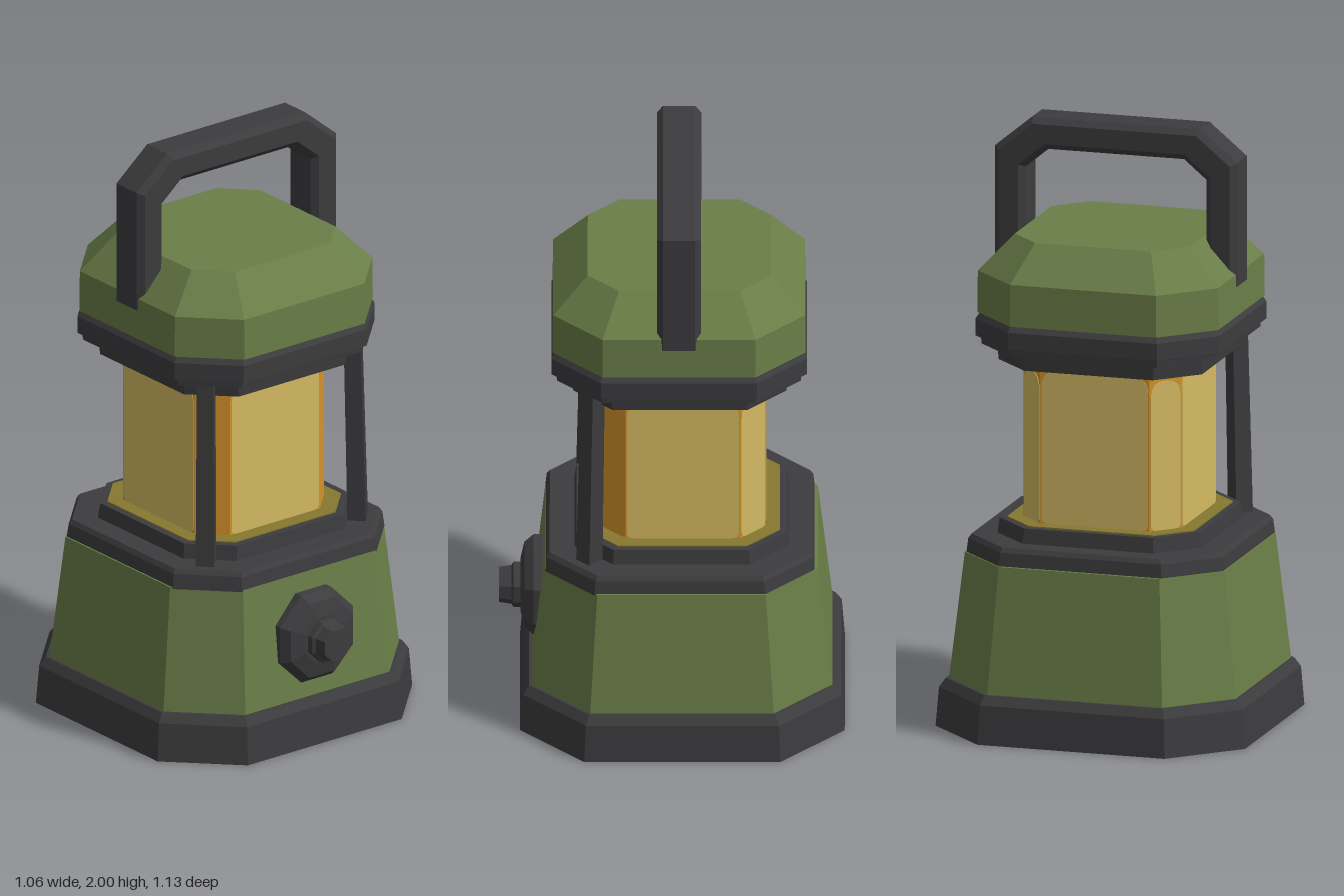
import * as THREE from 'three';

const mat = (name, color) => {
  const m = new THREE.MeshStandardMaterial({ color });
  m.name = name;
  return m;
};

// Faceted normals for any geometry
function facet(geo) {
  const g = geo.index ? geo.toNonIndexed() : geo;
  g.computeVertexNormals();
  return g;
}

// Stack of chamfered-square rings: [y, half width, half flat, centre z]
function octLoft(rings) {
  const pos = [];
  const loops = rings.map(([y, h, f, z]) =>
    [[h, -f], [h, f], [f, h], [-f, h], [-h, f], [-h, -f], [-f, -h], [f, -h]]
      .map(([px, pz]) => [px, y, pz + z]));
  const tri = (...pts) => pts.forEach(p => pos.push(...p));
  const last = rings.length - 1;
  const bottom = [0, rings[0][0], rings[0][3]];
  const top = [0, rings[last][0], rings[last][3]];
  for (let i = 0; i < 8; i++) {
    const j = (i + 1) % 8;
    for (let k = 0; k < last; k++) {
      const lo = loops[k], hi = loops[k + 1];
      tri(lo[i], hi[i], lo[j]);
      tri(lo[j], hi[i], hi[j]);
    }
    tri(bottom, loops[0][i], loops[0][j]);
    tri(top, loops[last][j], loops[last][i]);
  }
  const g = new THREE.BufferGeometry();
  g.setAttribute('position', new THREE.Float32BufferAttribute(pos, 3));
  g.computeVertexNormals();
  return g;
}

// Thin upright pane with rounded corners
function paneGeometry(w, h, r) {
  const s = new THREE.Shape();
  const x = w / 2, rb = r * 0.4;
  s.moveTo(-x + rb, 0);
  s.lineTo(x - rb, 0);
  s.quadraticCurveTo(x, 0, x, rb);
  s.lineTo(x, h - r);
  s.quadraticCurveTo(x, h, x - r, h);
  s.lineTo(-x + r, h);
  s.quadraticCurveTo(-x, h, -x, h - r);
  s.lineTo(-x, rb);
  s.quadraticCurveTo(-x, 0, -x + rb, 0);
  return new THREE.ExtrudeGeometry(s, { depth: 0.005, bevelEnabled: false, curveSegments: 6 });
}

export function createModel() {
  const green = mat('green paint', 0x6a7e48);
  const dark = mat('dark rubber', 0x3c3c3e);
  const amber = mat('amber glass', 0xd8962c);
  const pale = mat('pale glow', 0xd6bb64);
  const olive = mat('olive gold', 0x86792f);

  const model = new THREE.Group();
  model.name = 'lantern';
  const add = (name, geo, material, parent = model) => {
    const m = new THREE.Mesh(geo, material);
    m.name = name;
    parent.add(m);
    return m;
  };

  // Stacked octagonal housing
  add('foot', octLoft([[0, 0.53, 0.32, -0.036], [0.13, 0.52, 0.315, -0.036], [0.16, 0.5, 0.305, -0.036]]), dark);
  add('body', octLoft([[0.155, 0.491, 0.3, -0.035], [0.58, 0.445, 0.275, -0.033]]), green);
  add('lowerCollar', octLoft([[0.575, 0.44, 0.28, -0.028], [0.625, 0.435, 0.275, -0.028], [0.64, 0.425, 0.27, -0.028]]), dark);
  add('lowerSeat', octLoft([[0.635, 0.35, 0.225, -0.033], [0.69, 0.343, 0.22, -0.033]]), dark);
  add('lowerSeatRing', octLoft([[0.686, 0.32, 0.21, -0.035], [0.694, 0.32, 0.21, -0.035]]), olive);
  add('upperSeatRing', octLoft([[1.216, 0.325, 0.21, -0.033], [1.224, 0.325, 0.21, -0.033]]), green);
  add('upperSeat', octLoft([[1.22, 0.348, 0.22, -0.028], [1.275, 0.352, 0.225, -0.028]]), dark);
  add('upperCollar', octLoft([[1.27, 0.36, 0.23, -0.025], [1.275, 0.398, 0.25, -0.025], [1.297, 0.4, 0.25, -0.025],
    [1.302, 0.417, 0.255, -0.025], [1.36, 0.417, 0.255, -0.025], [1.385, 0.4, 0.25, -0.025]]), dark);
  add('cap', octLoft([[1.38, 0.413, 0.25, -0.025], [1.52, 0.411, 0.25, -0.025], [1.64, 0.3, 0.198, -0.027]]), green);

  // Amber lamp with glowing panes on the faces away from the posts
  const lampZ = -0.038;
  add('lamp', octLoft([[0.68, 0.27, 0.187, lampZ], [1.23, 0.27, 0.187, lampZ]]), amber);
  const panes = new THREE.Group();
  panes.name = 'glowPanes';
  model.add(panes);
  const wide = paneGeometry(0.365, 0.515, 0.055);
  const narrow = paneGeometry(0.108, 0.5, 0.05);
  const placePane = (geo, angle, dist) => {
    const p = add('glowPane', geo, pale, panes);
    p.position.set(Math.sin(angle) * dist, 0.694, lampZ + Math.cos(angle) * dist);
    p.rotation.y = angle;
  };
  for (let i = 0; i < 4; i++) placePane(wide, i * Math.PI / 2, 0.267);
  for (const s of [-1, 1]) placePane(narrow, s * Math.PI * 0.75, 0.457 * Math.SQRT1_2 - 0.003);

  // Two leaning posts at the front corners
  const postGeo = facet(new THREE.CylinderGeometry(0.039, 0.043, 0.65, 4));
  for (const s of [-1, 1]) {
    const post = add(s > 0 ? 'leftPost' : 'rightPost', postGeo, dark);
    post.position.set(s * 0.311, 0.955, 0.262);
    post.rotation.set(-0.018, 0, s * 0.016);
  }

  // Carrying handle: angular arch with bevelled edges
  const b = 0.02;
  const arch = new THREE.Shape([
    [0.415 - b, 1.5], [0.415 - b, 1.885], [0.28, 2 - b], [-0.28, 2 - b], [-0.415 + b, 1.885], [-0.415 + b, 1.5],
    [-0.31 - b, 1.5], [-0.31 - b, 1.84], [-0.24, 1.895 + b], [0.24, 1.895 + b], [0.31 + b, 1.84], [0.31 + b, 1.5],
  ].map(p => new THREE.Vector2(...p)));
  const archGeo = new THREE.ExtrudeGeometry(arch, {
    depth: 0.105, bevelEnabled: true, bevelSize: b, bevelThickness: b, bevelSegments: 1,
  });
  add('handle', facet(archGeo), dark).position.z = -0.0775;

  // Front dial: octagonal flange with a stubby grip
  const lathe = pts => {
    const g = new THREE.LatheGeometry(pts.map(p => new THREE.Vector2(...p)), 8, Math.PI / 8);
    return facet(g.rotateX(Math.PI / 2));
  };
  const dial = new THREE.Group();
  dial.name = 'dial';
  dial.position.set(0, 0.365, 0);
  model.add(dial);
  add('dialFlange', lathe([[0, 0.39], [0.165, 0.39], [0.165, 0.45], [0.14, 0.48], [0.085, 0.493], [0, 0.493]]), dark, dial);
  add('dialGrip', lathe([[0, 0.48], [0.075, 0.48], [0.075, 0.515], [0.064, 0.522], [0.058, 0.562], [0, 0.562]]), dark, dial);

  return model;
}
